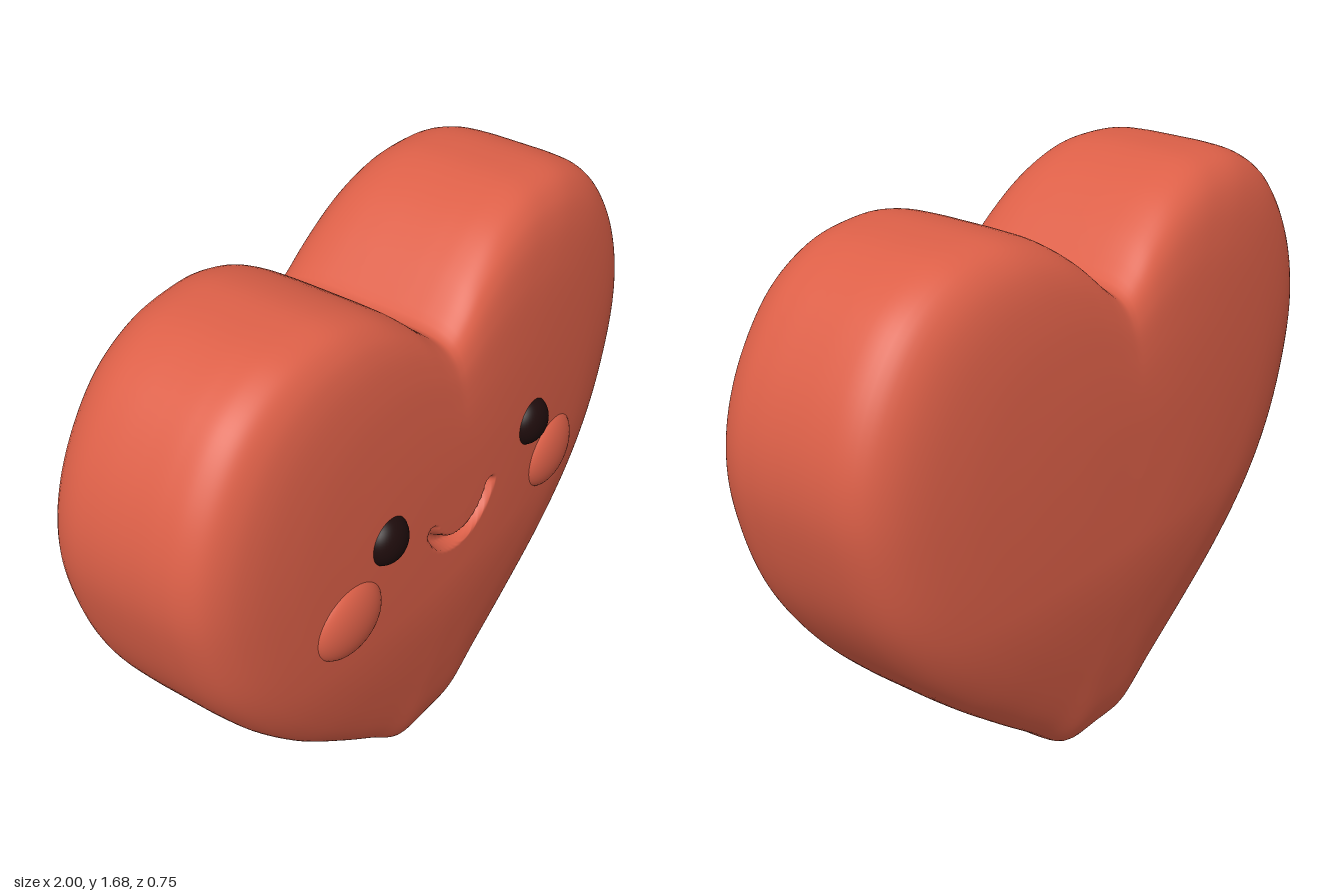
import * as THREE from 'three';

const CENTER_Y = 0.9;
const SEGMENTS = 220;

// Right half of the heart outline, from the cleft round to the flat foot
const HALF = [
  [0, 1.432], [0.05, 1.465], [0.15, 1.555], [0.27, 1.632], [0.4, 1.674], [0.5, 1.68], [0.65, 1.66],
  [0.8, 1.58], [0.92, 1.43], [0.985, 1.27], [1, 1.12], [0.97, 0.95], [0.9, 0.76], [0.78, 0.575],
  [0.61, 0.39], [0.4, 0.215], [0.25, 0.1], [0.14, 0.012], [0.1, 0], [0, 0],
];

// Thickness profile: [outline scale, depth] from the rim to the middle of a face
const PROFILE = [
  [1, 0], [0.999, 0.1], [0.992, 0.17], [0.97, 0.222], [0.93, 0.258], [0.87, 0.284],
  [0.75, 0.308], [0.55, 0.326], [0.3, 0.337], [0, 0.34],
];

function heartOutline() {
  const mirrored = HALF.slice(1, -1).reverse().map(([x, y]) => [-x, y]);
  const points = [...HALF, ...mirrored].map(([x, y]) => new THREE.Vector3(x, y - CENTER_Y, 0));
  const curve = new THREE.CatmullRomCurve3(points, true, 'centripetal');
  return curve.getSpacedPoints(SEGMENTS).slice(0, SEGMENTS);
}

// Rounded version of the outline, so the cleft fades out across the faces
function softened(points) {
  let soft = points.map((p) => p.clone());
  for (let pass = 0; pass < 300; pass++) {
    soft = soft.map((p, i) => {
      const before = soft[(i + SEGMENTS - 1) % SEGMENTS];
      const after = soft[(i + 1) % SEGMENTS];
      return p.clone().multiplyScalar(2).add(before).add(after).multiplyScalar(0.25);
    });
  }
  return soft;
}

// Depth of the smile groove at a point on the front face
function smileDepth(x, y) {
  const cx = -0.015, cy = 0.97, radius = 0.15, reach = 1.2;
  const angle = THREE.MathUtils.clamp(Math.atan2(x - cx, cy - y), -reach, reach);
  const distance = Math.hypot(x - cx - radius * Math.sin(angle), y - cy + radius * Math.cos(angle));
  return 0.04 * (1 - THREE.MathUtils.smoothstep(distance, 0.008, 0.025));
}

function heartGeometry() {
  const outline = heartOutline();
  const soft = softened(outline);
  const profile = new THREE.CatmullRomCurve3(
    PROFILE.map(([s, z]) => new THREE.Vector3(s, z, 0)), false, 'centripetal');
  const back = profile.getSpacedPoints(60).reverse().map((p) => [p.x, -p.y * 1.09]);
  const front = profile.getSpacedPoints(140).slice(1).map((p) => [p.x, p.y]);
  const rings = [...back, ...front];

  const positions = [];
  for (const [s, depth] of rings) {
    const blend = Math.min(1, (1 - s) * 1.6);
    outline.forEach((p, i) => {
      const v = p.clone().lerp(soft[i], blend).multiplyScalar(s);
      const y = Math.max(0, v.y + CENTER_Y);
      // The faces slope in more gently towards the foot
      const fullness = 0.65 + 0.35 * THREE.MathUtils.smoothstep(y, 0, 0.7);
      const excess = Math.max(0, Math.abs(depth) - 0.2);
      let z = depth - Math.sign(depth) * excess * (1 - fullness);
      if (z > 0.25) z -= smileDepth(v.x, y);
      positions.push(v.x, y, z);
    });
  }

  const indices = [];
  for (let j = 0; j < rings.length - 1; j++) {
    for (let i = 0; i < SEGMENTS; i++) {
      const next = (i + 1) % SEGMENTS;
      const a = j * SEGMENTS + i, b = j * SEGMENTS + next;
      const c = a + SEGMENTS, d = b + SEGMENTS;
      if (j < rings.length - 2) indices.push(b, c, d);
      if (j > 0) indices.push(a, c, b);
    }
  }
  const geometry = new THREE.BufferGeometry();
  geometry.setAttribute('position', new THREE.Float32BufferAttribute(positions, 3));
  geometry.setIndex(indices);
  geometry.computeVertexNormals();
  return geometry;
}

export function createModel() {
  const red = new THREE.MeshStandardMaterial({ color: 0xdd6048 });
  red.name = 'coral red';
  const black = new THREE.MeshStandardMaterial({ color: 0x1e0c0c });
  black.name = 'warm black';

  const model = new THREE.Group();
  model.name = 'smilingHeart';

  // Puffy heart with the smile pressed into its front
  const body = new THREE.Mesh(heartGeometry(), red);
  body.name = 'heartBody';
  model.add(body);

  // Flattened balls for the eyes and cheeks
  const ball = new THREE.SphereGeometry(1, 40, 28);
  const addBall = (name, material, position, size, turn) => {
    const mesh = new THREE.Mesh(ball, material);
    mesh.name = name;
    mesh.position.set(...position);
    mesh.scale.set(...size);
    mesh.rotation.y = turn;
    model.add(mesh);
  };
  addBall('rightEye', black, [-0.35, 1.02, 0.318], [0.074, 0.074, 0.057], 0);
  addBall('leftEye', black, [0.345, 1.0, 0.318], [0.074, 0.074, 0.057], 0);
  addBall('rightCheek', red, [-0.512, 0.85, 0.308], [0.13, 0.117, 0.055], -0.08);
  addBall('leftCheek', red, [0.475, 0.818, 0.308], [0.13, 0.117, 0.055], 0.08);

  return model;
}
